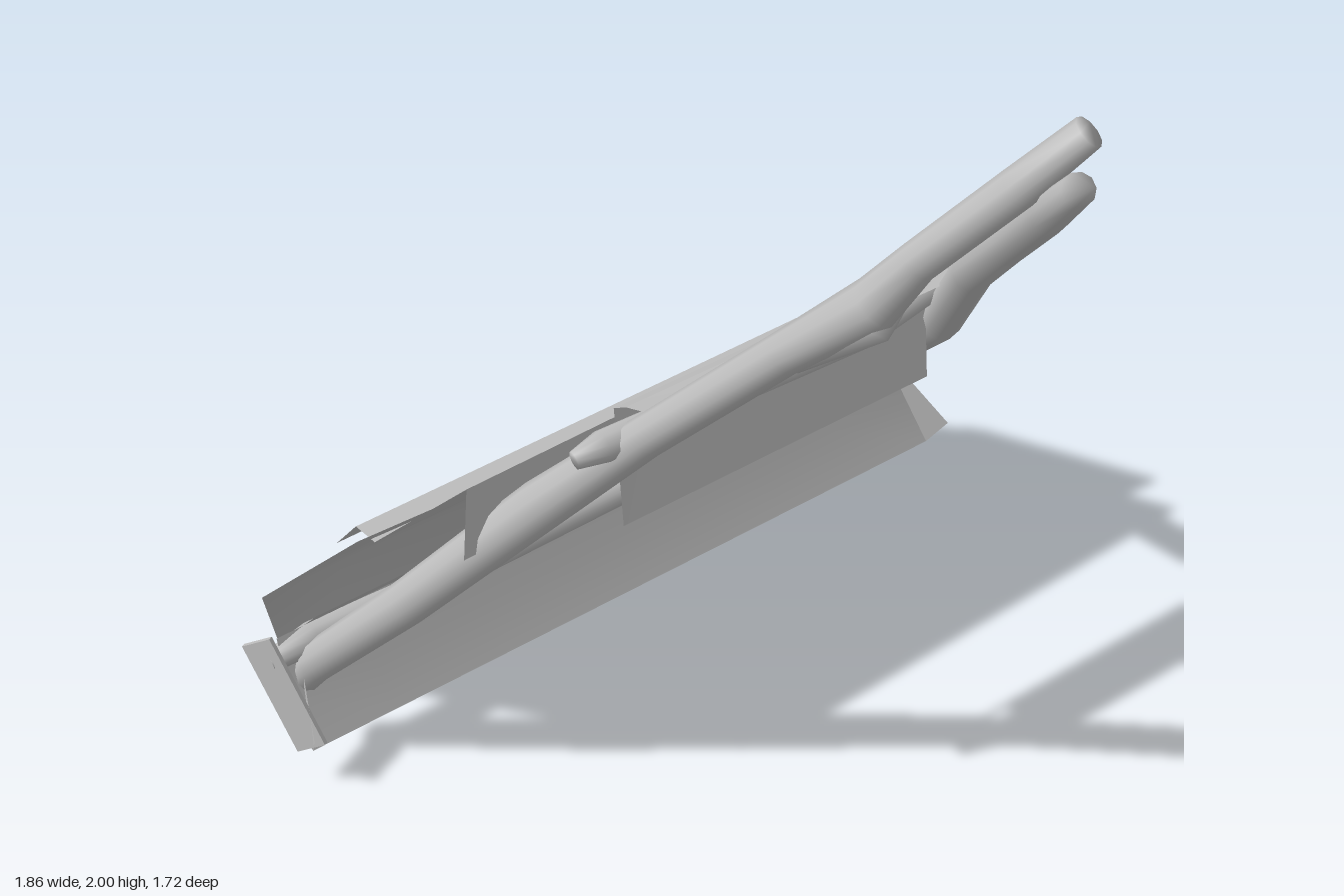
import * as THREE from 'three';

const grey = new THREE.MeshStandardMaterial({ color: 0xbcbcbc, side: THREE.DoubleSide });
grey.name = 'plain grey';

// The frame is turned in plan: p runs towards the pole tips, q runs across.
const C = Math.cos(Math.PI / 6), S = 0.5;
const place = (p, y, q) => [C * p + S * q, y, S * p - C * q];

function geometry(positions, index) {
  const g = new THREE.BufferGeometry();
  g.setAttribute('position', new THREE.Float32BufferAttribute(positions, 3));
  g.setIndex(index);
  g.computeVertexNormals();
  return g;
}

function mesh(name, geo) {
  const m = new THREE.Mesh(geo, grey);
  m.name = name;
  return m;
}

// Crooked round timber through points [x, y, z, radius]
function timber(name, pts, sides = 10) {
  const pos = [], idx = [];
  const v = pts.map(p => new THREE.Vector3(p[0], p[1], p[2]));
  v.forEach((c, i) => {
    const t = v[Math.min(i + 1, v.length - 1)].clone().sub(v[Math.max(i - 1, 0)]).normalize();
    const a = new THREE.Vector3(0, 1, 0).cross(t).normalize();
    const b = t.clone().cross(a);
    for (let j = 0; j < sides; j++) {
      const k = j / sides * Math.PI * 2;
      const w = c.clone().addScaledVector(a, Math.cos(k) * pts[i][3])
        .addScaledVector(b, Math.sin(k) * pts[i][3]);
      pos.push(w.x, w.y, w.z);
    }
  });
  for (let i = 0; i < v.length - 1; i++) {
    for (let j = 0; j < sides; j++) {
      const a = i * sides + j, b = i * sides + (j + 1) % sides;
      idx.push(a, b, b + sides, a, b + sides, a + sides);
    }
  }
  // end caps
  const last = (v.length - 1) * sides;
  for (let j = 1; j < sides - 1; j++) {
    idx.push(0, j + 1, j, last, last + j, last + j + 1);
  }
  return mesh(name, geometry(pos, idx));
}

// Sheet lofted over rows, each from a start [p, y, q] to an end [p, y, q];
// bow pushes the middle of the row along p
function sheet(name, rows, cols = 8) {
  const pos = [], idx = [];
  rows.forEach(([start, end, bow = 0], i) => {
    for (let j = 0; j <= cols; j++) {
      const t = j / cols;
      const [p, y, q] = start.map((s, k) => s + (end[k] - s) * t);
      pos.push(...place(p + bow * (1 - Math.abs(2 * t - 1)), y, q));
      if (i && j) {
        const d = i * (cols + 1) + j, u = d - cols - 1;
        idx.push(u - 1, u, d, u - 1, d, d - 1);
      }
    }
  });
  return mesh(name, geometry(pos, idx));
}

export function createModel() {
  const g = new THREE.Group();
  g.name = 'dragSled';

  // two long poles meeting at the tip
  g.add(timber('rightPole', [
    [-0.83, 0.19, 0.70, 0.03], [-0.78, 0.28, 0.71, 0.045], [-0.55, 0.51, 0.71, 0.05],
    [-0.24, 0.84, 0.69, 0.055], [0.0, 1.08, 0.69, 0.045], [0.31, 1.39, 0.73, 0.045],
    [0.49, 1.55, 0.73, 0.055], [0.57, 1.66, 0.725, 0.042], [0.75, 1.85, 0.70, 0.042],
    [0.87, 1.98, 0.67, 0.035]]));
  g.add(timber('leftPole', [
    [-0.02, 0.28, -0.73, 0.03], [0.05, 0.38, -0.65, 0.04], [0.2, 0.65, -0.40, 0.04],
    [0.36, 0.94, -0.09, 0.045], [0.495, 1.24, 0.13, 0.045], [0.65, 1.51, 0.39, 0.04],
    [0.8, 1.78, 0.66, 0.04], [0.9, 1.96, 0.83, 0.033]]));
  // snapped branch under the right pole
  g.add(timber('branchStub', [
    [0.32, 1.37, 0.72, 0.03], [0.49, 1.51, 0.72, 0.05], [0.56, 1.62, 0.72, 0.02]], 6));

  // cross bars
  g.add(timber('upperCrossbar', [
    [-0.12, 1.05, 0.78, 0.02], [-0.08, 1.06, 0.73, 0.035], [0.0, 1.06, 0.6, 0.033],
    [0.13, 1.035, 0.36, 0.03], [0.26, 1.03, 0.14, 0.033], [0.34, 1.055, -0.02, 0.033],
    [0.38, 1.06, -0.12, 0.015]]));
  g.add(timber('lowerCrossbar', [
    [-0.86, 0.3, 0.77, 0.025], [-0.8, 0.32, 0.68, 0.036], [-0.6, 0.305, 0.33, 0.036],
    [-0.28, 0.315, -0.22, 0.034], [-0.04, 0.32, -0.64, 0.036], [0.02, 0.31, -0.75, 0.025]]));

  // large cover lying on the poles and hanging down behind
  g.add(sheet('lowerCover', [
    [[-0.54, 0.005, -0.926], [-0.54, 0.03, 0.683], -0.07],
    [[-0.48, 0.37, -1.03], [-0.39, 0.36, 0.64], -0.03],
    [[-0.12, 0.73, -1.0], [-0.06, 0.72, 0.545]]]));
  // upper cover overlapping it, with a flat shelf along its lower edge
  g.add(sheet('coverEdge', [
    [[-0.285, 0.6, -0.95], [-0.285, 0.6, 0.47]], [[-0.252, 0.65, -0.92], [-0.252, 0.65, 0.43]]]));
  g.add(sheet('coverShelf', [
    [[-0.252, 0.65, -0.92], [-0.252, 0.65, 0.43]], [[-0.18, 0.65, -0.92], [-0.18, 0.65, 0.43]]]));
  g.add(sheet('upperCover', [
    [[-0.18, 0.65, -0.94], [-0.18, 0.65, 0.45]],
    [[-0.09, 0.74, -0.93], [-0.09, 0.74, 0.42]],
    [[0.053, 0.89, -0.84], [0.014, 0.87, 0.38]]]));
  // front skirt hanging from its upper edge
  g.add(sheet('coverSkirt', [
    [[0.053, 0.89, -0.84], [0.014, 0.87, 0.38]], [[0.06, 0.72, -0.86], [0.03, 0.72, 0.42]]]));

  // lower panel in front of the bar, with its flange and curled ends
  g.add(sheet('lowerPanel', [
    [[-0.365, 0.35, -1.07], [-0.365, 0.35, 0.66]],
    [[-0.32, 0.2, -1.07], [-0.32, 0.2, 0.69]],
    [[-0.27, 0.09, -1.06], [-0.27, 0.09, 0.71]]]));
  g.add(sheet('lowerFlange', [
    [[-0.365, 0.35, -1.0], [-0.365, 0.35, 0.64]], [[-0.31, 0.41, -1.0], [-0.31, 0.41, 0.62]]]));
  for (const [top, bottom, tip] of [[0.64, 0.71, 0.74], [-1.02, -1.06, -1.08]]) {
    const pts = [[-0.365, 0.35, top], [-0.27, 0.09, bottom], [-0.227, 0.155, tip]];
    g.add(mesh('panelEnd', geometry(pts.flatMap(p => place(...p)), [0, 1, 2])));
  }

  // end board beside the right pole
  const board = mesh('endBoard', new THREE.BoxGeometry(0.075, 0.27, 0.012));
  board.position.set(-0.82, 0.235, 0.785);
  board.rotation.set(-0.12, 0, 0.5);
  g.add(board);

  // upper panel folded over the upper bar
  g.add(sheet('upperPanel', [
    [[0.29, 0.83, -0.62], [0.29, 0.83, 0.2]], [[0.24, 1.09, -0.6], [0.24, 1.08, 0.23]]]));
  g.add(sheet('upperFold', [
    [[0.24, 1.09, -0.6], [0.24, 1.08, 0.23]], [[0.28, 1.115, -0.6], [0.28, 1.105, 0.23]]]));
  g.add(sheet('upperFlange', [
    [[0.28, 1.115, -0.6], [0.28, 1.105, 0.23]], [[0.365, 1.14, -0.59], [0.365, 1.12, 0.22]]]));
  return g;
}
